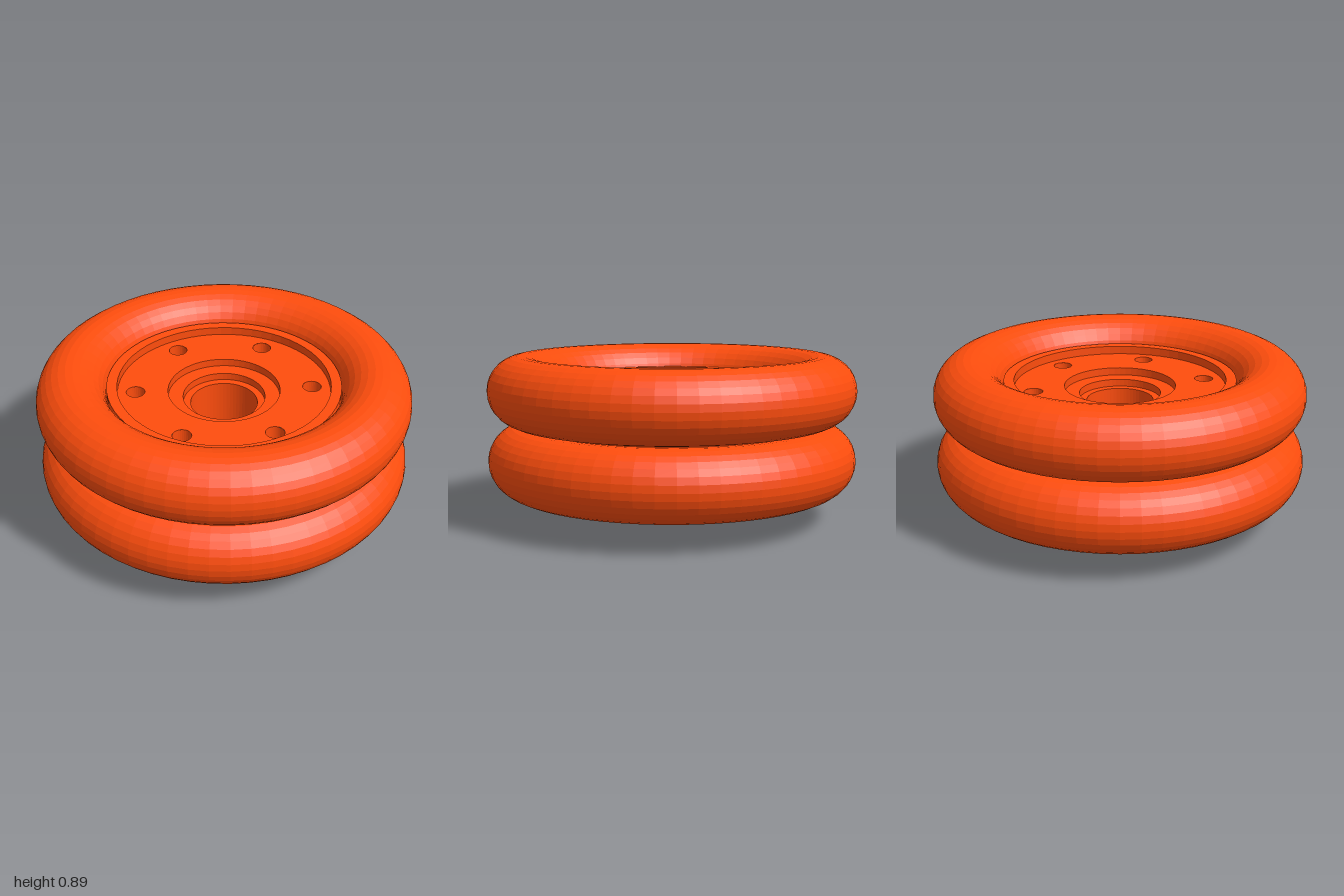
import * as THREE from 'three';

const SIDES = 60;
const DRUM = 0.57, TOP = 0.72, BOTTOM = 0.21;
const BOLT_CIRCLE = 0.473, BOLT_R = 0.05;

export function createModel() {
  const group = new THREE.Group();
  const material = new THREE.MeshStandardMaterial({ color: 0xff4d0d, flatShading: true });
  const holeMaterial = material.clone();
  holeMaterial.side = THREE.BackSide;

  const add = (name, geometry, y = 0, mat = material) => {
    const mesh = new THREE.Mesh(geometry, mat);
    mesh.name = name;
    mesh.position.y = y;
    group.add(mesh);
    return mesh;
  };
  const lathe = (points) =>
    new THREE.LatheGeometry(points.map(([r, y]) => new THREE.Vector2(r, y)), SIDES);

  // Bolt hole centres in plan (x, z)
  const bolts = Array.from({ length: 6 }, (_, i) => {
    const a = THREE.MathUtils.degToRad(22.6 + 60 * i);
    return [BOLT_CIRCLE * Math.cos(a), BOLT_CIRCLE * Math.sin(a)];
  });

  // Two stacked round tyres
  const tyre = new THREE.TorusGeometry(0.814, 0.186, 30, SIDES).rotateX(Math.PI / 2);
  add('lowerTyre', tyre, 0.325);
  add('upperTyre', tyre, 0.704);

  // Outside of the drum with a raised rim band inside each tyre
  add('rims', lathe([
    [DRUM, BOTTOM], [DRUM, 0.265], [0.626, 0.265], [0.626, 0.385], [DRUM, 0.385],
    [DRUM, 0.645], [0.626, 0.645], [0.626, 0.765], [DRUM, 0.765], [DRUM, TOP],
  ]));

  // Stepped bearing seat, bore and the boss under the drum
  add('hub', lathe([
    [0.3, TOP], [0.3, 0.678], [0.22, 0.678], [0.22, 0.638], [0.18, 0.638],
    [0.18, 0.2], [0.1, 0.2], [0.1, 0], [0.2, 0], [0.2, BOTTOM],
  ]));

  // Pierced end faces of the drum; dir is +1 for up, -1 for down
  const face = (inner, dir) => {
    const shape = new THREE.Shape().absarc(0, 0, DRUM, 0, Math.PI * 2);
    shape.holes.push(new THREE.Path().absarc(0, 0, inner, 0, Math.PI * 2, true));
    for (const [x, z] of bolts) {
      const hole = new THREE.Path().absarc(x, -dir * z, BOLT_R, 0, Math.PI * 2, true);
      shape.holes.push(hole);
    }
    return new THREE.ShapeGeometry(shape, SIDES / 2).rotateX(-dir * Math.PI / 2);
  };
  add('topFace', face(0.3, 1), TOP);
  add('bottomFace', face(0.2, -1), BOTTOM);

  // Walls of the bolt holes, seen from inside
  const wall = new THREE.CylinderGeometry(BOLT_R, BOLT_R, TOP - BOTTOM, SIDES / 2, 1, true);
  for (const [x, z] of bolts) {
    const hole = add('boltHole', wall, (TOP + BOTTOM) / 2, holeMaterial);
    hole.position.x = x;
    hole.position.z = z;
  }

  return group;
}
